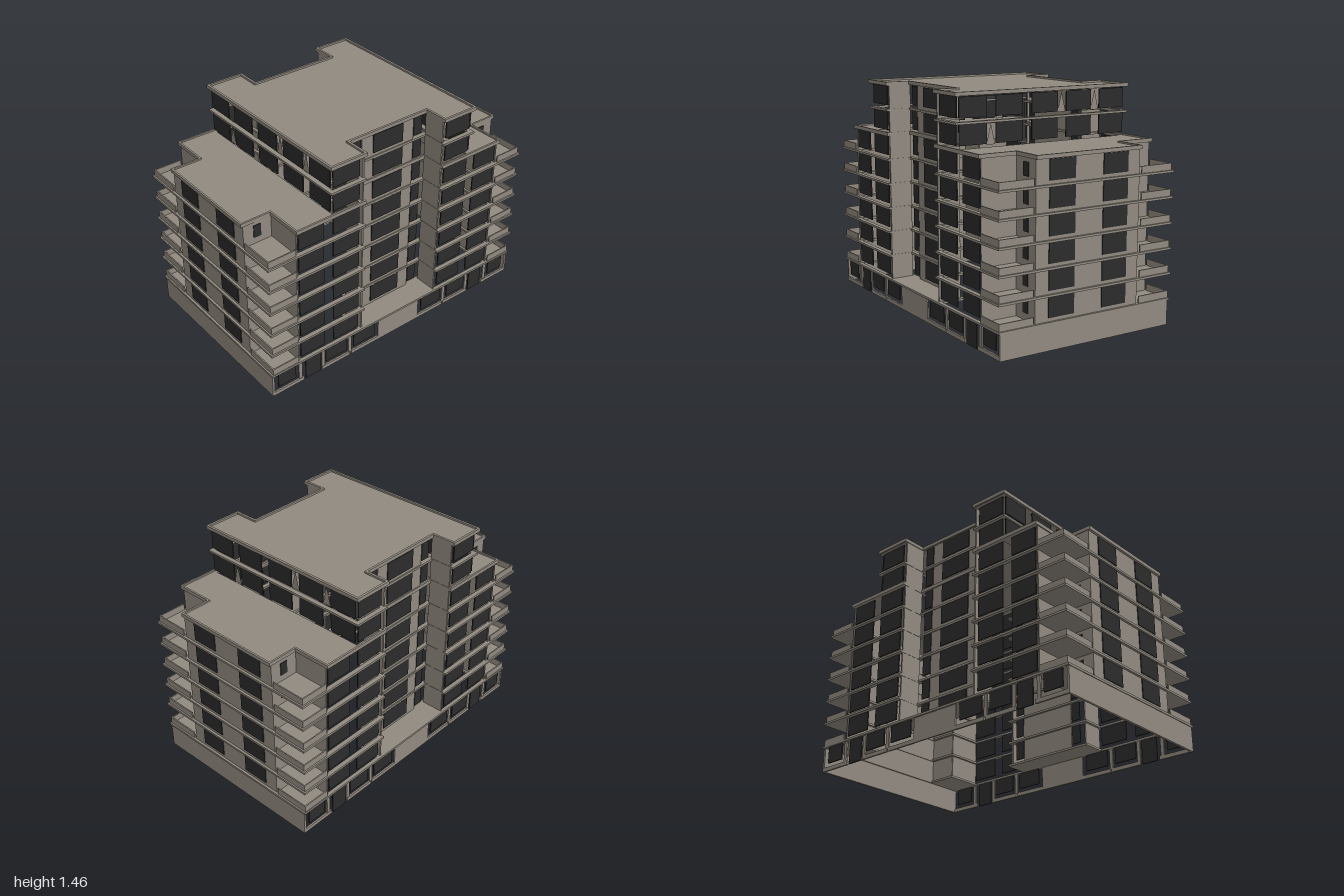
import * as THREE from 'three';

export function createModel() {
  const concrete = new THREE.MeshStandardMaterial({ color: 0x918a80, side: THREE.DoubleSide });
  const glass = new THREE.MeshStandardMaterial({ color: 0x2b2b2b, side: THREE.DoubleSide });
  concrete.name = 'warm grey concrete';
  glass.name = 'dark glass';

  const model = new THREE.Group();
  model.name = 'apartmentBuilding';
  const add = (name, geo, mat) => {
    const m = new THREE.Mesh(geo, mat);
    m.name = name;
    model.add(m);
    return m;
  };
  // Box given by its two corners
  const box = (name, mat, x0, x1, y0, y1, z0, z1) => {
    const g = new THREE.BoxGeometry(Math.abs(x1 - x0), y1 - y0, Math.abs(z1 - z0));
    g.translate((x0 + x1) / 2, (y0 + y1) / 2, (z0 + z1) / 2);
    return add(name, g, mat);
  };
  // Same box mirrored to both sides, or to all four quarters
  const signs = [1, -1];
  const sides = (n, m, x0, x1, y0, y1, z0, z1) =>
    signs.forEach(s => box(n, m, s * x0, s * x1, y0, y1, z0, z1));
  const ends = (n, m, x0, x1, y0, y1, z0, z1) =>
    signs.forEach(s => box(n, m, x0, x1, y0, y1, s * z0, s * z1));
  const quarters = (n, m, x0, x1, y0, y1, z0, z1) =>
    signs.forEach(s => sides(n, m, x0, x1, y0, y1, s * z0, s * z1));

  // Plan outlines: a quarter path mirrored round the plan
  const outline = q => {
    const p = [
      ...q.map(([x, z]) => [x, z]),
      ...[...q].reverse().map(([x, z]) => [-x, z]),
      ...q.map(([x, z]) => [-x, -z]),
      ...[...q].reverse().map(([x, z]) => [x, -z]),
    ];
    return p.map(([x, z]) => new THREE.Vector2(x, z));
  };
  const notched = (d, hz) => outline([[0.465 - d, 0.3 + d], [0.625 - d, 0.3 + d], [0.625 - d, hz - d]]);
  const cross = d => outline([[0.465 - d, 0.3 + d], [0.625 - d, 0.3 + d],
    [0.625 - d, 0.8 - d], [0.375 - d, 0.8 - d], [0.375 - d, 1 - d]]);
  const slab = (name, outer, hole, y, depth) => {
    const s = new THREE.Shape(outer);
    if (hole) s.holes.push(new THREE.Path(hole));
    const g = new THREE.ExtrudeGeometry(s, { depth, bevelEnabled: false });
    g.rotateX(-Math.PI / 2);
    g.translate(0, y, 0);
    return add(name, g, concrete);
  };

  const levels = [0.165, 0.325, 0.482, 0.64, 0.798, 0.956, 1.118, 1.276];
  const rect = outline([[0.62, 1]]);

  // Podium: solid end walls, glazed sides around a solid middle panel
  ends('podiumEndWall', concrete, -0.61, 0.61, 0, 0.16, 0.98, 0.995);
  sides('podiumMiddlePanel', concrete, 0.6, 0.61, 0, 0.16, -0.17, 0.17);
  for (const [z0, z1, y0] of [[0.82, 0.95, 0.05], [0.635, 0.745, 0], [0.43, 0.59, 0.05], [0.2, 0.37, 0.05]])
    quarters(y0 ? 'podiumWindow' : 'podiumDoor', glass, 0.6, 0.608, y0, 0.157, z0, z1);
  for (const [z0, z1] of [[0.76, 0.98], [0.4, 0.62], [0.17, 0.39]])
    quarters('podiumSill', concrete, 0.598, 0.61, 0, 0.025, z0, z1);
  for (const z of [0.785, 0.61, 0.4])
    quarters('podiumPier', concrete, 0.598, 0.608, 0.02, 0.157, z - 0.012, z + 0.012);
  slab('podiumSlab', rect, cross(0.03), 0.157, 0.014);

  // Floor edges: they also form the corner balcony floors
  for (const y of levels.slice(1, 6)) slab('floorEdge', notched(0, 1), cross(0.03), y - 0.007, 0.014);
  slab('upperFloorEdge', notched(0, 0.555), notched(0.03, 0.555), 1.269, 0.014);

  // Tall walls
  const low = 0.165, mid = 1.115, high = 1.435;
  ends('endWall', concrete, -0.37, 0.37, low, mid, 0.975, 0.985);
  quarters('balconySideWall', concrete, 0.362, 0.37, low, mid, 0.79, 0.985);
  quarters('balconyBackWall', concrete, 0.365, 0.605, low, mid, 0.785, 0.793);
  sides('recessBackWall', concrete, 0.45, 0.458, low, high, -0.2, 0.2);
  quarters('recessSideWall', concrete, 0.455, 0.605, low, high, 0.302, 0.312);

  // Windows and balcony rails on each floor
  levels.forEach((y, i) => {
    const y0 = y + 0.028, y1 = y + 0.15;
    sides('recessWindow', glass, 0.458, 0.464, y0, y1, -0.115, 0.115);
    quarters('recessCornerWindow', glass, 0.452, 0.458, y0, y1, 0.205, 0.27);
    quarters('sideWindow', glass, 0.597, 0.605, y0, y1, 0.334, 0.527);
    if (i < 6) {
      quarters('outerSideWindow', glass, 0.597, 0.605, y0, y1, 0.595, 0.775);
      quarters('endWindow', glass, 0.1, 0.28, y0, y1, 0.984, 0.99);
      quarters('balconyWindow', glass, 0.369, 0.374, y0 + 0.02, y1 - 0.02, 0.865, 0.915);
      quarters('balconyFrontRail', concrete, 0.385, 0.615, y, y + 0.05, 0.982, 0.99);
      quarters('balconySideRail', concrete, 0.607, 0.615, y, y + 0.05, 0.8, 0.99);
    } else {
      for (const x of [-0.503, -0.252, 0, 0.252, 0.503])
        ends('upperEndWindow', glass, x - 0.094, x + 0.094, y0, y1, 0.537, 0.545);
    }
  });

  // Pointed wall pieces between the upper windows
  for (const [x, y, z] of [[0.125, 1.3, 0.54], [0.375, 1.3, 0.54], [-0.38, 1.14, 0.54]]) {
    const s = new THREE.Shape([[-0.03, 0], [0.03, 0], [0, 0.125]].map(p => new THREE.Vector2(...p)));
    signs.forEach(k => {
      const m = add('pointedPier', new THREE.ShapeGeometry(s), concrete);
      m.position.set(x * k, y, z * k);
    });
  }

  // Lower roofs over both ends, with rims
  const lowerRoof = [[-0.62, 0.54], [0.62, 0.54], [0.62, 0.8], [0.375, 0.8], [0.375, 1], [-0.375, 1], [-0.375, 0.8], [-0.62, 0.8]];
  signs.forEach(k => slab('lowerRoof', lowerRoof.map(([x, z]) => new THREE.Vector2(x * k, z * k)), null, 1.11, 0.014));
  slab('middleFloorEdge', notched(0, 0.56), notched(0.03, 0.56), 1.11, 0.014);
  slab('lowerRoofRim', cross(0), cross(0.012), 1.11, 0.024);

  // Main roof with rim
  slab('mainRoof', notched(0.005, 0.555), null, 1.43, 0.013);
  slab('mainRoofRim', notched(-0.003, 0.555), notched(0.012, 0.555), 1.432, 0.023);

  return model;
}
